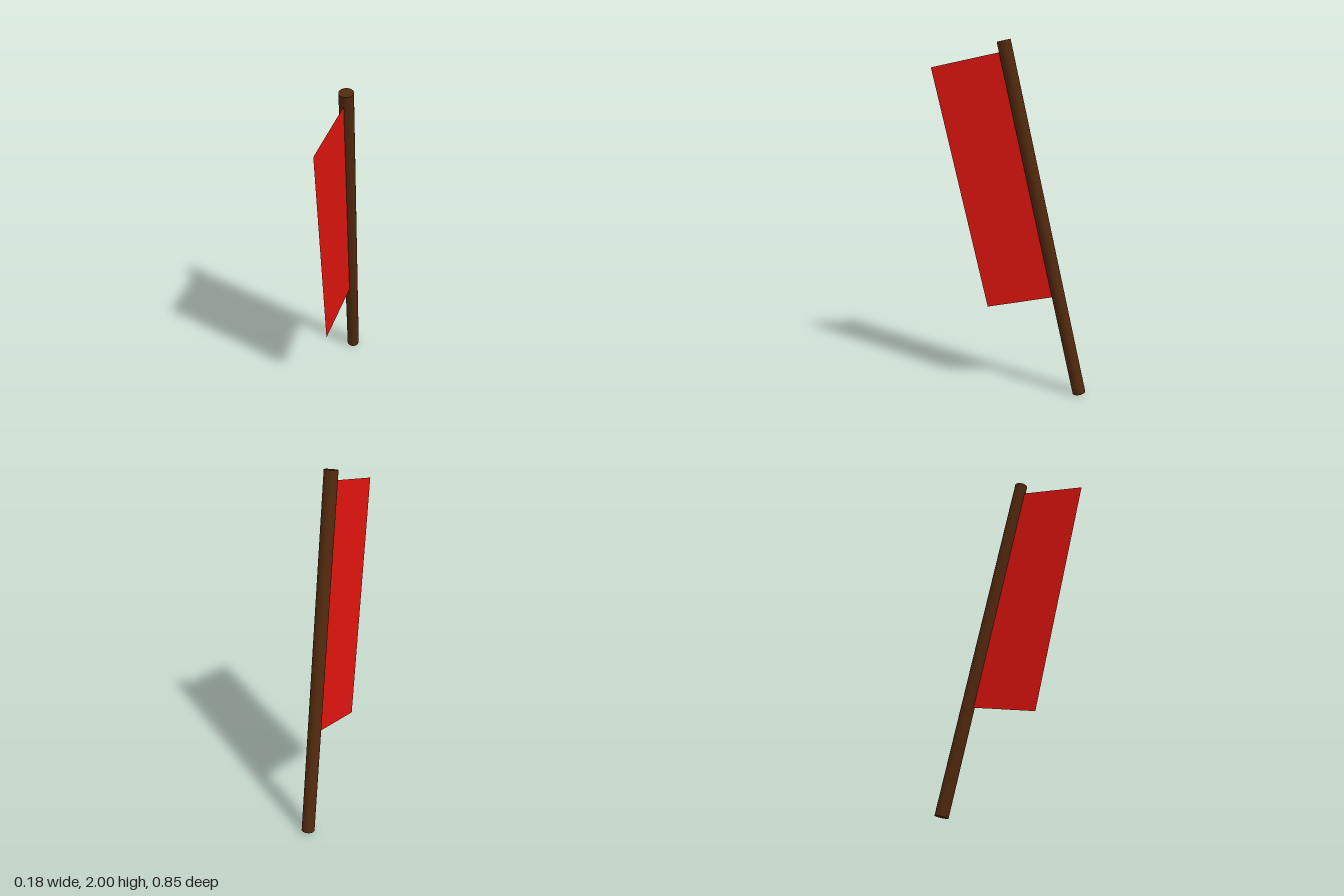
import * as THREE from 'three';

export function createModel() {
  const model = new THREE.Group();
  model.name = 'leaningFlag';

  // Leaning frame: y runs along the pole, z points out along the flag
  const bottom = new THREE.Vector3(-0.051, 0.008, -0.389);
  const top = new THREE.Vector3(0.051, 1.992, 0.031);
  const length = top.distanceTo(bottom);
  const along = top.clone().sub(bottom).normalize();
  const across = new THREE.Vector3(0.003, -0.083, 0.407);
  const side = along.clone().cross(across).normalize();
  const out = side.clone().cross(along);

  const frame = new THREE.Group();
  frame.name = 'flagAndPole';
  frame.quaternion.setFromRotationMatrix(new THREE.Matrix4().makeBasis(side, along, out));
  frame.position.copy(bottom);
  model.add(frame);

  // Round wooden pole
  const pole = new THREE.Mesh(
    new THREE.CylinderGeometry(0.037, 0.037, length, 32),
    new THREE.MeshStandardMaterial({ color: 0x52290e })
  );
  pole.name = 'pole';
  pole.position.y = length / 2;
  frame.add(pole);

  // Flat cloth, starting at the pole's axis
  const width = 0.416, height = 1.377;
  const cloth = new THREE.Mesh(
    new THREE.PlaneGeometry(width, height).rotateY(-Math.PI / 2),
    new THREE.MeshStandardMaterial({ color: 0xdd140e, side: THREE.DoubleSide })
  );
  cloth.name = 'flagCloth';
  cloth.position.set(0, 0.973 * length - height / 2, width / 2);
  frame.add(cloth);

  return model;
}
